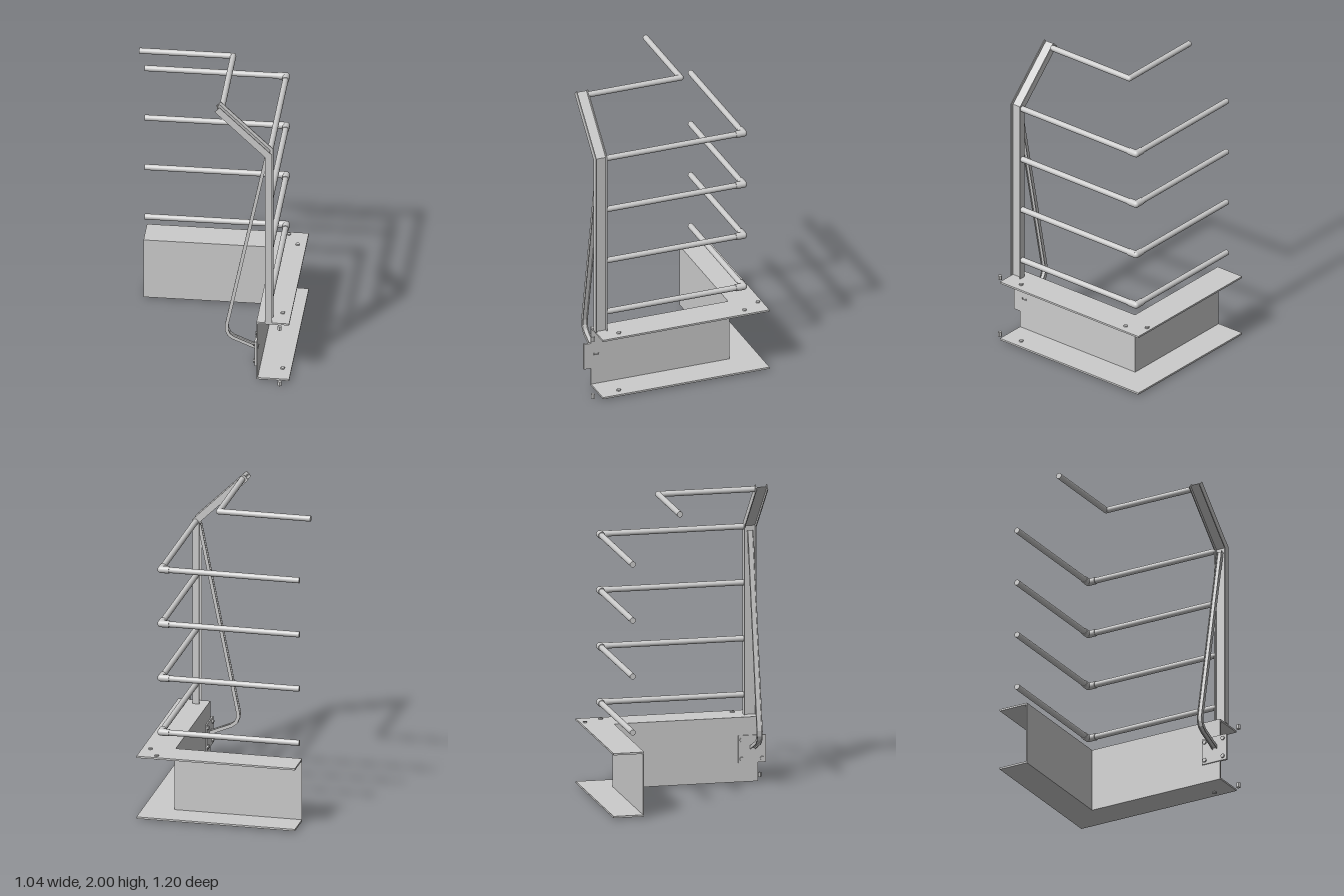
import * as THREE from 'three';

const mat = new THREE.MeshStandardMaterial({ color: 0xcccccc });
const flat = new THREE.MeshStandardMaterial({ color: 0xcccccc, flatShading: true });

function add(parent, name, geometry, material = flat) {
  const mesh = new THREE.Mesh(geometry, material);
  mesh.name = name;
  parent.add(mesh);
  return mesh;
}

// Box given by its two extreme corners
function block(parent, name, a, b) {
  const m = add(parent, name, new THREE.BoxGeometry(b[0] - a[0], b[1] - a[1], b[2] - a[2]));
  m.position.set((a[0] + b[0]) / 2, (a[1] + b[1]) / 2, (a[2] + b[2]) / 2);
}

// Outline of constant width around an xy path, mitred at the bends
function ribbon(path, width) {
  const pts = path.map(p => new THREE.Vector2(...p));
  const left = [], right = [];
  pts.forEach((p, i) => {
    const d0 = p.clone().sub(pts[Math.max(i - 1, 0)]).normalize();
    const d1 = pts[Math.min(i + 1, pts.length - 1)].clone().sub(p).normalize();
    const d = d0.clone().add(d1).normalize();
    const along = i === 0 ? d1 : d0;
    const n = new THREE.Vector2(-d.y, d.x).multiplyScalar(width / 2 / d.dot(along));
    left.push(p.clone().add(n));
    right.unshift(p.clone().sub(n));
  });
  return new THREE.Shape([...left, ...right]);
}

// H-section bar following a path: two flanges facing front and back, and a thin web
function hBar(parent, name, path, width, z0, z1, t) {
  const g = new THREE.Group();
  g.name = name;
  const strip = (part, w, za, zb) => {
    const geo = new THREE.ExtrudeGeometry(ribbon(path, w), { depth: zb - za, bevelEnabled: false });
    add(g, part, geo.translate(0, 0, za));
  };
  strip('frontFlange', width, z1 - t, z1);
  strip('backFlange', width, z0, z0 + t);
  strip('web', t, z0 + t, z1 - t);
  parent.add(g);
}

// Round bar between two points
function rod(parent, name, a, b, r) {
  const from = new THREE.Vector3(...a), to = new THREE.Vector3(...b);
  const dir = to.clone().sub(from);
  const m = add(parent, name, new THREE.CylinderGeometry(r, r, dir.length(), 20), mat);
  m.position.copy(from).add(to).multiplyScalar(0.5);
  m.quaternion.setFromUnitVectors(new THREE.Vector3(0, 1, 0), dir.normalize());
}

function ball(parent, name, p, r) {
  add(parent, name, new THREE.SphereGeometry(r, 20, 14), mat).position.set(...p);
}

// L-shaped handrail with an optional elbow fitting at the corner
function rail(parent, name, y, x, z, elbow) {
  const g = new THREE.Group();
  g.name = name;
  const r = 0.019, R = 0.023;
  rod(g, 'sideBar', [x, y, 0.47], [x, y, z], r);
  rod(g, 'backBar', [x, y, z], [-0.52, y, z], r);
  ball(g, 'corner', [x, y, z], elbow ? R : r);
  if (elbow) {
    rod(g, 'elbowSide', [x, y, z], [x, y, z + 0.055], R);
    rod(g, 'elbowBack', [x, y, z], [x - 0.055, y, z], R);
  }
  parent.add(g);
}

export function createModel() {
  const model = new THREE.Group();
  model.name = 'stairStringerWithRailing';

  // Corner channel: two L-shaped flanges and two webs
  const channel = new THREE.Group();
  channel.name = 'channel';
  const outline = new THREE.Shape([
    [-0.52, -0.6], [0.515, -0.6], [0.515, 0.54], [0.306, 0.54], [0.306, -0.4], [-0.52, -0.4],
  ].map(p => new THREE.Vector2(...p)));
  for (const [name, top] of [['topFlange', 0.43], ['bottomFlange', 0.021]]) {
    const geo = new THREE.ExtrudeGeometry(outline, { depth: 0.012, bevelEnabled: false });
    add(channel, name, geo.rotateX(Math.PI / 2).translate(0, top, 0));
  }
  block(channel, 'sideWeb', [0.306, 0.021, -0.408], [0.314, 0.418, 0.54]);
  block(channel, 'backWeb', [-0.52, 0.021, -0.408], [0.306, 0.418, -0.4]);
  model.add(channel);

  // Hexagonal flange bolts
  const bolts = [
    [0.39, 0.424, -0.57], [0.46, 0.424, -0.45],
    [0.46, 0.424, 0.41], [0.46, 0.424, 0.585],
    [0.46, 0.015, 0.41], [0.46, 0.015, 0.585],
  ];
  bolts.forEach(p => {
    const geo = new THREE.CylinderGeometry(0.014, 0.014, p[1] > 0.1 ? 0.028 : 0.03, 6);
    add(model, 'flangeBolt', geo).position.set(...p);
  });

  // Cranked post
  hBar(model, 'post', [[0.383, 0.43], [0.383, 1.661], [0.055, 1.981]], 0.045, 0.464, 0.544, 0.006);

  // Rails
  for (let i = 0; i < 4; i++) rail(model, 'rail', 0.56 + i * 0.365, 0.385, -0.474, true);
  rail(model, 'topRail', 1.965, 0.08, -0.166, false);

  // Bent brace from the post to the bracket plate
  const brace = [[0.366, 1.63], [0.113, 0.38], [0.115, 0.345], [0.128, 0.315], [0.155, 0.294], [0.316, 0.226]];
  hBar(model, 'brace', brace, 0.022, 0.487, 0.523, 0.005);

  // Bracket plate with its bolts
  block(model, 'bracketPlate', [0.298, 0.134, 0.41], [0.314, 0.312, 0.59]);
  for (const y of [0.16, 0.285]) for (const z of [0.432, 0.565]) {
    const geo = new THREE.CylinderGeometry(0.014, 0.014, 0.014, 6).rotateZ(Math.PI / 2);
    add(model, 'bracketBolt', geo).position.set(0.296, y, z);
  }
  return model;
}
